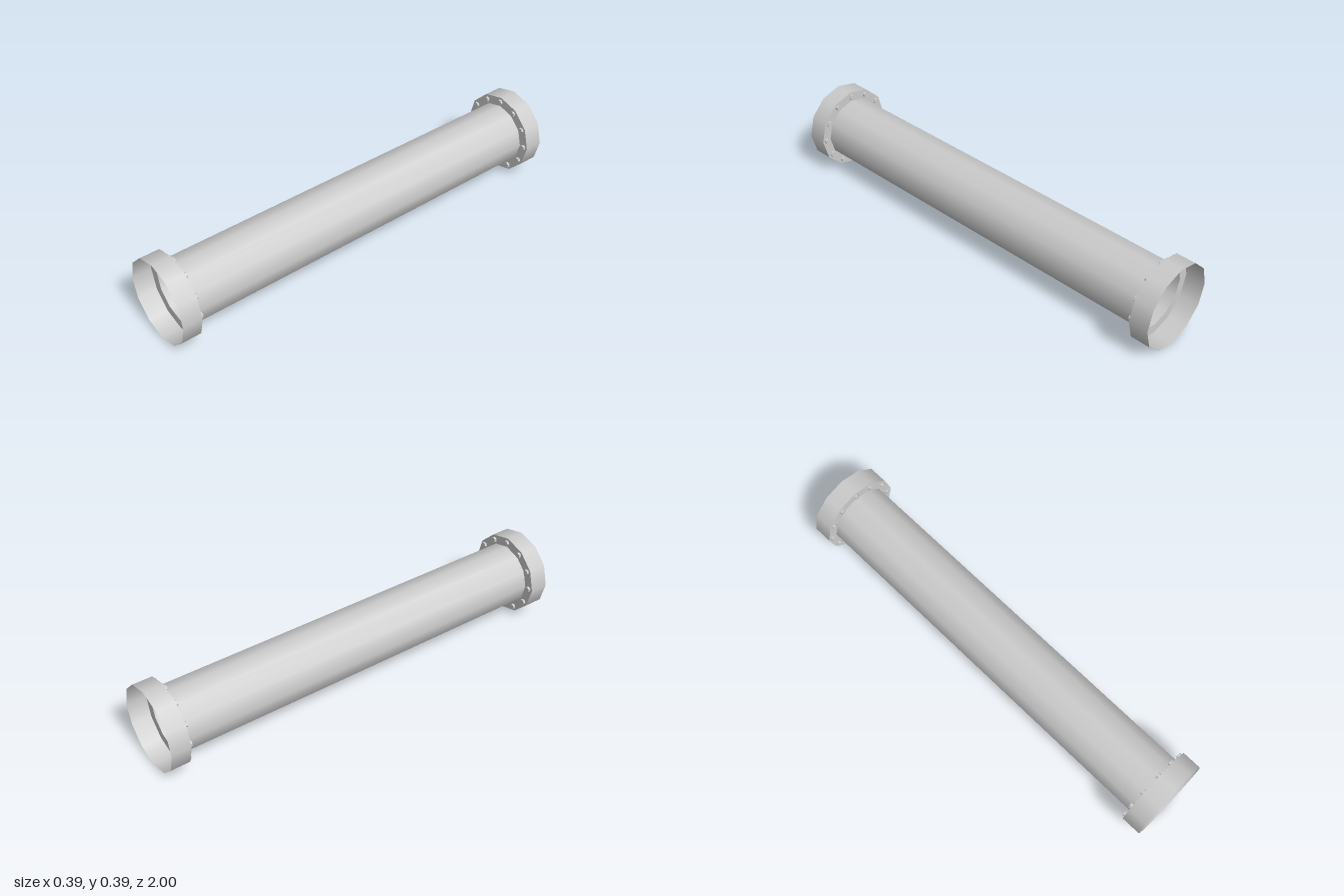
import * as THREE from 'three';

const SIDES = 12;
const PIPE_R = 0.148;
const COLLAR_R = 0.1935;
const BOLT_CIRCLE = 0.17;
const FLANGE_Z = 0.911;
const AXIS_Y = 0.195;

export function createModel() {
  const model = new THREE.Group();
  model.name = 'flangedPipe';

  const shell = new THREE.MeshStandardMaterial({ color: 0xcccccc, side: THREE.DoubleSide });
  const boltMaterial = new THREE.MeshStandardMaterial({ color: 0xcccccc, side: THREE.DoubleSide, flatShading: true });

  const add = (parent, name, geometry, material) => {
    const mesh = new THREE.Mesh(geometry, material);
    mesh.name = name;
    parent.add(mesh);
    return mesh;
  };

  // Open twelve-sided tube lying along z
  const tube = (radius, length) =>
    new THREE.CylinderGeometry(radius, radius, length, SIDES, 1, true).rotateX(Math.PI / 2);

  add(model, 'pipe', tube(PIPE_R, 2 * FLANGE_Z), shell);

  // Hexagonal bolt head, open where it meets the flange, pointing to -z
  const head = [[0.0135, 0], [0.0135, 0.011], [0, 0.011]].map(([r, h]) => new THREE.Vector2(r, h));
  const boltGeometry = new THREE.LatheGeometry(head, 6).rotateX(-Math.PI / 2);

  const makeEnd = (name) => {
    const end = new THREE.Group();
    end.name = name;

    // Thin collar around the pipe mouth
    const depth = 1 - FLANGE_Z;
    add(end, 'collar', tube(COLLAR_R, depth), shell).position.z = FLANGE_Z + depth / 2;

    // Flat flange joining pipe and collar
    add(end, 'flange', new THREE.RingGeometry(PIPE_R, COLLAR_R, SIDES), shell).position.z = FLANGE_Z;

    // Ring of bolts behind the flange
    for (let i = 0; i < SIDES; i++) {
      const a = (i / SIDES) * Math.PI * 2;
      const bolt = add(end, 'bolt', boltGeometry, boltMaterial);
      bolt.position.set(Math.cos(a) * BOLT_CIRCLE, Math.sin(a) * BOLT_CIRCLE, FLANGE_Z);
      bolt.rotation.z = a;
    }
    return end;
  };

  const front = makeEnd('frontEnd');
  const back = makeEnd('backEnd');
  back.rotation.y = Math.PI;
  model.add(front, back);

  model.children.forEach((part) => { part.position.y = AXIS_Y; });
  return model;
}
